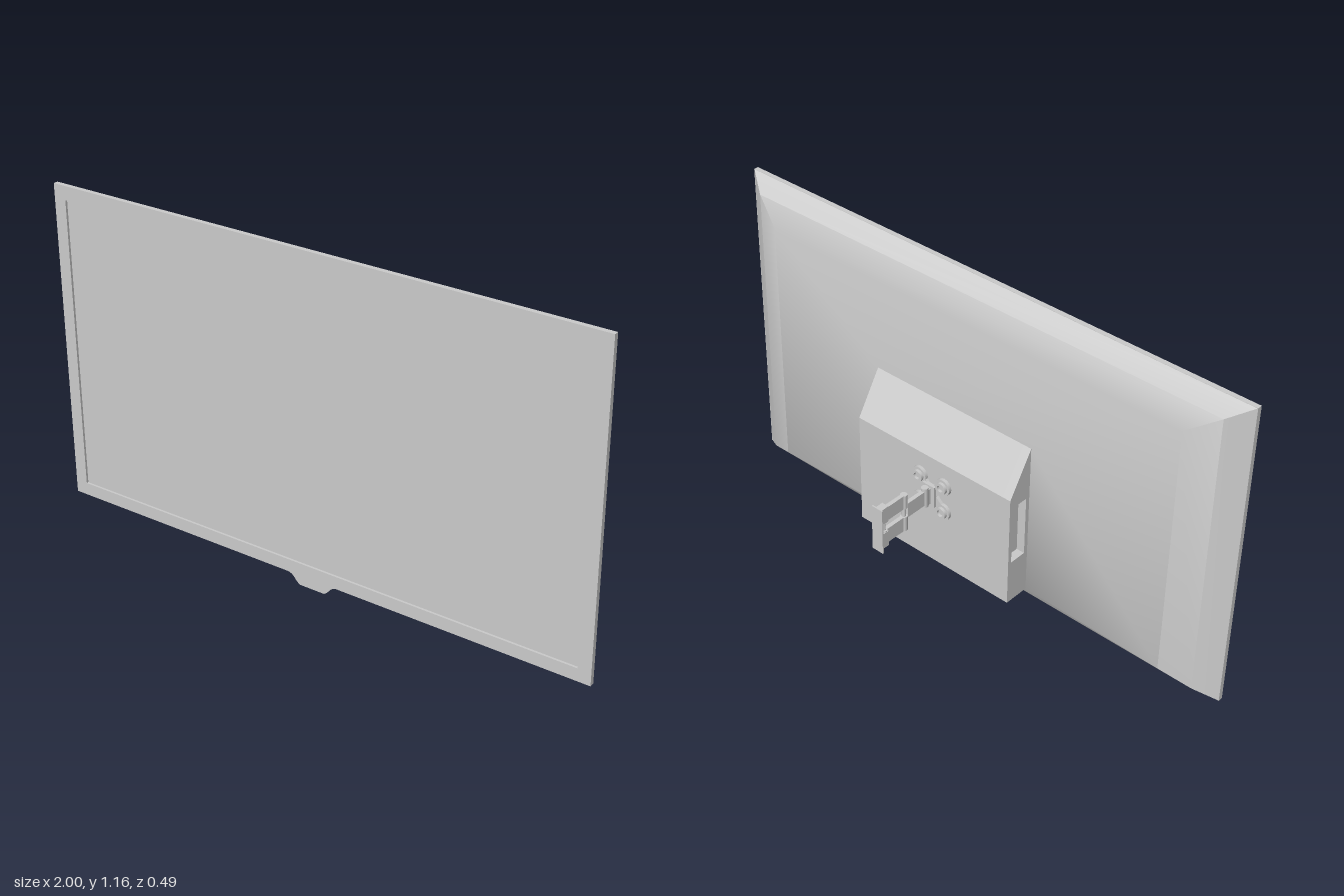
import * as THREE from 'three';
import { toCreasedNormals } from 'three/addons/utils/BufferGeometryUtils.js';

const material = new THREE.MeshStandardMaterial({ color: 0xcccccc });

function add(parent, name, geometry, x = 0, y = 0, z = 0) {
  const mesh = new THREE.Mesh(geometry, material);
  mesh.name = name;
  mesh.position.set(x, y, z);
  parent.add(mesh);
  return mesh;
}
const polygon = (pts) => new THREE.Shape(pts.map(([x, y]) => new THREE.Vector2(x, y)));
const rect = (x0, x1, y0, y1) => polygon([[x0, y0], [x1, y0], [x1, y1], [x0, y1]]);
const extrude = (shape, depth) =>
  new THREE.ExtrudeGeometry(shape, { depth, bevelEnabled: false, curveSegments: 16 });
const box = (w, h, d) => new THREE.BoxGeometry(w, h, d);
const rod = (r, h) => new THREE.CylinderGeometry(r, r, h, 16);

// Rear casing lofted through rectangles [halfWidth, bottom, top, z]
function shellGeometry() {
  const sections = [
    [1, 0.035, 1.16, 0.231],
    [0.925, 0.075, 1.112, 0.182],
    [0.82, 0.12, 1.04, 0.143],
    [0.32, 0.18, 0.745, 0.1],
  ];
  const pos = [], idx = [];
  for (const [w, b, t, z] of sections) pos.push(-w, b, z, w, b, z, w, t, z, -w, t, z);
  for (let i = 0; i < sections.length - 1; i++) {
    for (let j = 0; j < 4; j++) {
      const a = i * 4 + j, b = i * 4 + (j + 1) % 4;
      idx.push(a, a + 4, b, b, a + 4, b + 4);
    }
  }
  const g = new THREE.BufferGeometry();
  g.setAttribute('position', new THREE.Float32BufferAttribute(pos, 3));
  g.setIndex(idx);
  return toCreasedNormals(g, 0.65);
}

// Side outline of the electronics housing, drawn as (-z, y) and extruded along x
const housingProfile = () => polygon([[-0.105, 0.18], [-0.008, 0.18], [-0.008, 0.595], [-0.1, 0.745], [-0.105, 0.745]]);

function buildMount() {
  const mount = new THREE.Group();
  mount.name = 'wallMount';
  const cy = 0.46;

  // Four-lobed plate with raised rings and screws
  for (const s of [-1, 1]) {
    const bar = add(mount, 'plateBar', box(0.15, 0.035, 0.012), 0, cy, 0.003);
    bar.rotation.z = s * Math.PI / 4;
    for (const t of [-1, 1]) {
      const x = s * 0.05, y = cy + t * 0.05;
      add(mount, 'plateLobe', rod(0.03, 0.012), x, y, 0.003).rotation.x = Math.PI / 2;
      const ring = new THREE.Shape().absarc(0, 0, 0.021, 0, Math.PI * 2);
      ring.holes.push(new THREE.Path().absarc(0, 0, 0.012, 0, Math.PI * 2, true));
      add(mount, 'lobeRing', extrude(ring, 0.012), x, y, -0.013);
      add(mount, 'screwHead', rod(0.008, 0.006), x, y, -0.004).rotation.x = Math.PI / 2;
    }
  }
  add(mount, 'plateHub', box(0.05, 0.08, 0.014), 0, cy, -0.005);

  // First arm with its vertical hinge barrel
  add(mount, 'hingeBlock', box(0.02, 0.06, 0.018), 0, cy, -0.014);
  add(mount, 'hingeBarrel', rod(0.012, 0.075), 0, cy + 0.003, -0.029);
  add(mount, 'innerArm', box(0.014, 0.055, 0.08), 0, cy + 0.002, -0.075);

  // Outer arm: two bars joined by pins, ending in a wall bracket
  for (const [y, h] of [[0.504, 0.052], [0.417, 0.055]]) {
    add(mount, 'outerArm', box(0.014, h, 0.105), 0, y, -0.17);
    add(mount, 'middleKnuckle', rod(0.012, h), 0, y, -0.126);
    add(mount, 'endKnuckle', rod(0.012, h), 0, y, -0.218);
  }
  add(mount, 'middlePin', rod(0.007, 0.12), 0, cy, -0.126);
  add(mount, 'endPin', rod(0.006, 0.15), 0, cy, -0.218);
  for (const y of [0.51, 0.412]) add(mount, 'endBracket', box(0.026, 0.058, 0.034), 0, y, -0.226);
  add(mount, 'wallPlate', box(0.044, 0.17, 0.005), 0, cy, -0.2445);
  return mount;
}

export function createModel() {
  const model = new THREE.Group();
  model.name = 'wallMountedTelevision';

  // Bezel and recessed screen
  const frame = rect(-1, 1, 0.035, 1.16);
  frame.holes.push(rect(-0.955, 0.955, 0.08, 1.112));
  add(model, 'bezel', extrude(frame, 0.017), 0, 0, 0.23);
  add(model, 'screen', box(1.93, 1.05, 0.008), 0, 0.596, 0.235);

  // Flared sensor tab under the bezel
  const tab = new THREE.Shape();
  tab.moveTo(-0.1, 0.036);
  tab.quadraticCurveTo(-0.08, 0.034, -0.07, 0.022);
  tab.quadraticCurveTo(-0.055, 0.002, -0.045, 0);
  tab.lineTo(0.045, 0);
  tab.quadraticCurveTo(0.055, 0.002, 0.07, 0.022);
  tab.quadraticCurveTo(0.08, 0.034, 0.1, 0.036);
  add(model, 'sensorTab', extrude(tab, 0.017), 0, 0, 0.23);

  add(model, 'rearShell', shellGeometry());

  // Housing, with a side panel cut open for the connector recess
  add(model, 'rearHousing', extrude(housingProfile(), 0.61).rotateY(Math.PI / 2), -0.29);
  const side = housingProfile();
  side.holes.push(rect(-0.085, -0.022, 0.34, 0.56));
  add(model, 'connectorPanel', extrude(side, 0.03).rotateY(Math.PI / 2), -0.32);

  model.add(buildMount());
  return model;
}
